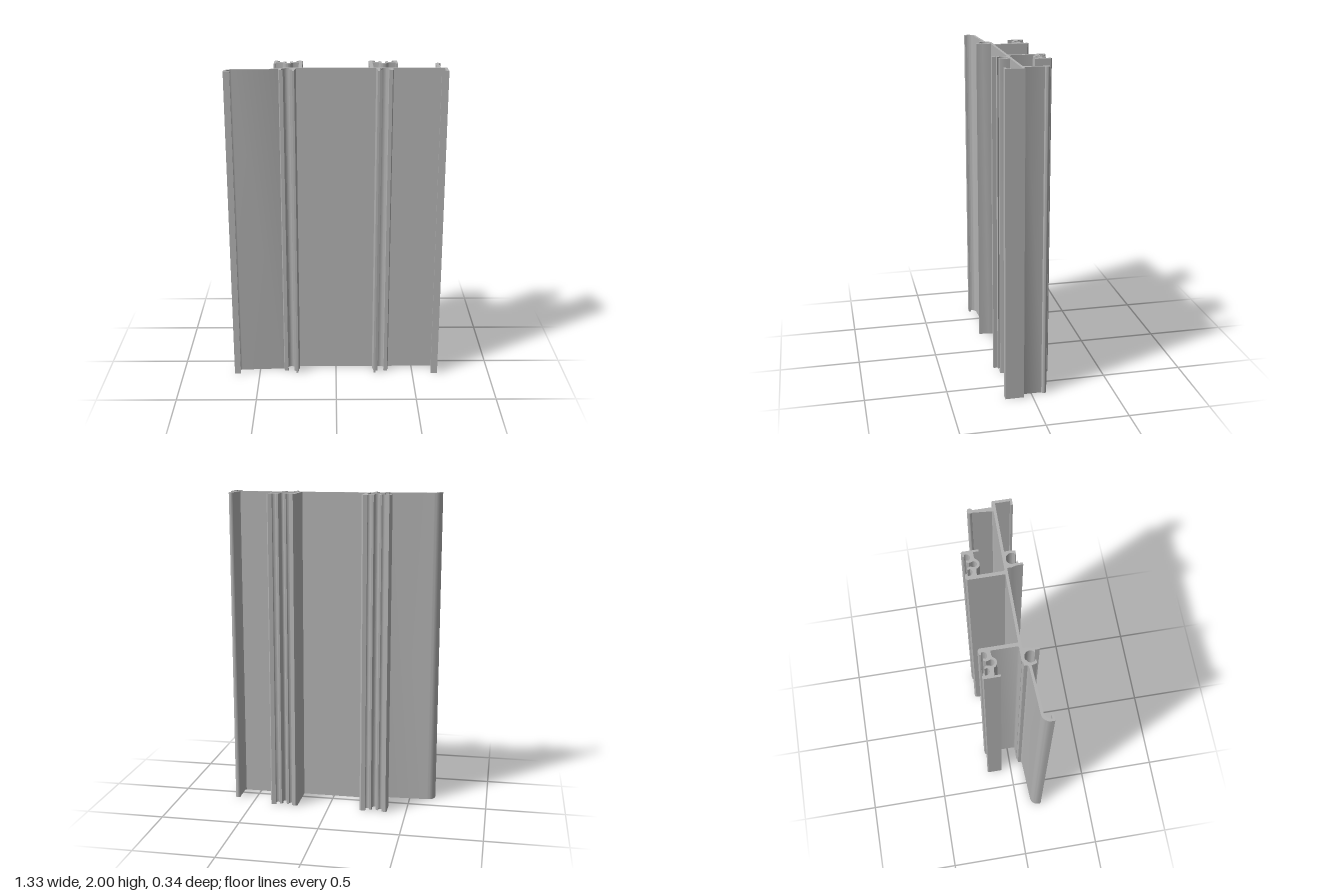
import * as THREE from 'three';
import { toCreasedNormals } from 'three/addons/utils/BufferGeometryUtils.js';

const UNIT = 1 / 280; // profile coordinates are given in 1/280 units
const HEIGHT = 2;

// Points along an arc in the (x, z) section plane, angles in degrees
function arc(cx, cz, r, from, to, n = 10) {
  return Array.from({ length: n + 1 }, (_, i) => {
    const a = THREE.MathUtils.degToRad(from + ((to - from) * i) / n);
    return [cx + r * Math.cos(a), cz + r * Math.sin(a)];
  });
}

export function createModel() {
  const group = new THREE.Group();
  group.name = 'extrudedProfile';
  const aluminium = new THREE.MeshStandardMaterial({ color: 0xb2b2b2 });
  aluminium.name = 'aluminium grey';

  // Extrudes a closed (x, z) section upward
  function addBar(name, section, mirror = 1, offset = 0) {
    const shape = new THREE.Shape(
      section.map(([x, z]) => new THREE.Vector2((x + offset) * mirror * UNIT, -z * UNIT)));
    const geo = new THREE.ExtrudeGeometry(shape, { depth: HEIGHT, bevelEnabled: false });
    geo.rotateX(-Math.PI / 2);
    const mesh = new THREE.Mesh(toCreasedNormals(geo, 0.6), aluminium);
    mesh.name = name;
    group.add(mesh);
  }

  // Main plate with the hooked flange at its left edge
  addBar('mainWeb', [[-87, 15], [186, 15], [186, 19.5], [-87, 19.5]]);
  addBar('edgeFlange', [[181.5, 15], [186, 15], [186, 47], [174, 47], [174, 43.5], [181.5, 43.5]]);

  // Upright fin with a round bead and small root fillets
  addBar('sealFin', [[171, 17], [171, -21], [175.5, -21], [175.5, 13], [177.5, 16], [168, 16], [171, 13]]);
  addBar('finBead', arc(174.5, -22, 4.5, 0, 345, 23));

  // Sloping blade with a rounded, hooked nose
  addBar('slopingBlade', [
    [-84, 15], [-88, 15.5], [-97, 24], [-100, 24.6],
    ...arc(-172, 42, 14, 270, 180, 10),
    [-186, 47], [-175, 47], [-175, 43.5], [-182, 43.5],
    ...arc(-172, 42, 9.5, 180, 270, 10),
    [-97, 28.5], [-93, 27], [-84, 19.5],
  ]);

  // One half of the clip head: centre cup, prong, round pocket, claw
  const headTop = [
    ...arc(0, -30, 5, 90, -30, 6),
    [3, -37], [5, -41], [8.5, -41],
    ...arc(12.5, -40, 6, 150, -25, 10),
    [14.5, -43], [15, -45.5], [22, -47], [24, -45],
  ];
  const headUnder = [[20.5, -28], [12, -28], ...arc(0, -30, 9, 20, 90, 6)];
  const flip = (pts) => pts.map(([x, z]) => [-x, z]);
  const clipPost = [
    ...headTop, [24, -19], [20.5, -19], ...headUnder,
    ...flip(headUnder).reverse().slice(1, -1),
    [-19, -28], [-19, 13], [-17, 16], [-25, 16], [-25, -44],
    ...flip(headTop).reverse().slice(1, -1),
  ];

  // Open screw channel with one long tail
  const screwChannel = [
    [-15, 17], [-15, 27], [-13, 34], [-13, 45], [-9.5, 45], [-9.5, 38], [-5, 37],
    ...arc(0, 29.5, 9.5, 155, 385, 16),
    [5.5, 36], [6, 37], [12, 37], [14, 29], [13, 17],
  ];

  for (const [side, s] of [['left', 1], ['right', -1]]) {
    addBar(side + 'ClipPost', clipPost, s, 82);
    addBar(side + 'ScrewChannel', screwChannel, s, 82);
  }
  return group;
}
